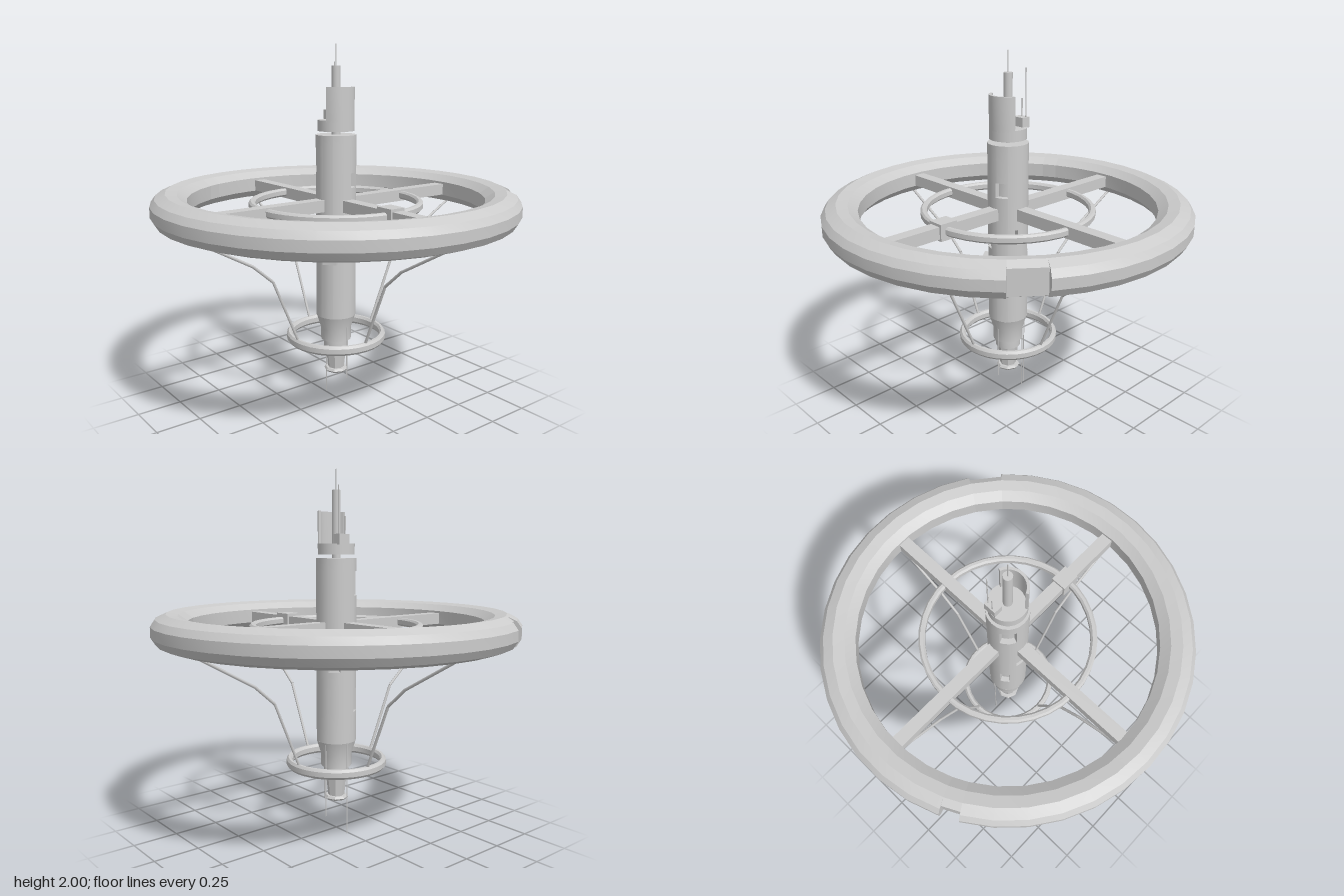
import * as THREE from 'three';
import { toCreasedNormals } from 'three/addons/utils/BufferGeometryUtils.js';

const rad = THREE.MathUtils.degToRad;
const material = new THREE.MeshStandardMaterial({ color: 0xcccccc });
const thin = new THREE.MeshStandardMaterial({ color: 0xcccccc, side: THREE.DoubleSide });
const faceted = new THREE.MeshStandardMaterial({ color: 0xcccccc, flatShading: true, side: THREE.DoubleSide });

function add(parent, name, geometry, mat = material) {
  const mesh = new THREE.Mesh(geometry, mat);
  mesh.name = name;
  parent.add(mesh);
  return mesh;
}

// Angles are in degrees about y: 0 is the front (+z), 90 is +x.
const polar = (a, y, r) => new THREE.Vector3(Math.sin(rad(a)) * r, y, Math.cos(rad(a)) * r);

// Profile of [radius, y] points turned about y, with flat ends when it is only an arc
function turned(parent, name, profile, segments, a0 = 0, a1 = 360) {
  const group = new THREE.Group();
  group.name = name;
  parent.add(group);
  const pts = profile.map(([r, y]) => new THREE.Vector2(r, y));
  const lathe = new THREE.LatheGeometry([...pts, pts[0].clone()], segments, rad(a0), rad(a1 - a0));
  add(group, name + 'Surface', toCreasedNormals(lathe, 0.4));
  if (a1 - a0 < 360) {
    for (const a of [a0, a1]) {
      add(group, name + 'End', new THREE.ShapeGeometry(new THREE.Shape(pts)), thin).rotation.y = rad(a - 90);
    }
  }
  return group;
}

// Straight round rod between two points
function rod(parent, name, p, q, radius, sides = 6) {
  const d = q.clone().sub(p);
  const mesh = add(parent, name, new THREE.CylinderGeometry(radius, radius, d.length(), sides));
  mesh.position.copy(p).add(q).multiplyScalar(0.5);
  mesh.quaternion.setFromUnitVectors(new THREE.Vector3(0, 1, 0), d.normalize());
  return mesh;
}

function box(parent, name, w, h, d, x, y, z) {
  const mesh = add(parent, name, new THREE.BoxGeometry(w, h, d));
  mesh.position.set(x, y, z);
  return mesh;
}

// Cylinder with rectangular recesses [angle0, angle1, y0, y1], built cell by cell
function recessedCylinder(radius, depth, yMin, yMax, recesses) {
  const sorted = (list) => [...new Set(list)].sort((a, b) => a - b);
  const angles = sorted([
    ...Array.from({ length: 25 }, (_, i) => i * 15 - 90),
    ...recesses.flatMap((w) => [w[0], w[1]]),
  ]);
  const ys = sorted([yMin, yMax, ...recesses.flatMap((w) => [w[2], w[3]])]);
  const n = angles.length - 1;
  const cell = (i, j) => {
    if (j < 0 || j >= ys.length - 1) return 0.001;
    const k = i % n;
    const a = (angles[k] + angles[k + 1]) / 2;
    const y = (ys[j] + ys[j + 1]) / 2;
    const cut = recesses.some((w) => a > w[0] && a < w[1] && y > w[2] && y < w[3]);
    return cut ? radius - depth : radius;
  };
  const pos = [];
  const quad = (a, b, c, d) => [a, b, c, a, c, d].forEach((p) => pos.push(p.x, p.y, p.z));
  for (let i = 0; i < n; i++) {
    const a0 = angles[i], a1 = angles[i + 1];
    for (let j = -1; j < ys.length - 1; j++) {
      const r = cell(i, j), side = cell(i + 1, j), above = cell(i, j + 1);
      const y0 = ys[j], y1 = ys[j + 1];
      if (j >= 0) quad(polar(a0, y0, r), polar(a1, y0, r), polar(a1, y1, r), polar(a0, y1, r));
      if (j >= 0 && side !== r) quad(polar(a1, y0, r), polar(a1, y0, side), polar(a1, y1, side), polar(a1, y1, r));
      if (above !== r) quad(polar(a0, y1, r), polar(a1, y1, r), polar(a1, y1, above), polar(a0, y1, above));
    }
  }
  const g = new THREE.BufferGeometry();
  g.setAttribute('position', new THREE.Float32BufferAttribute(pos, 3));
  return toCreasedNormals(g, 0.5);
}

export function createModel() {
  const model = new THREE.Group();
  model.name = 'spaceStation';

  // Large habitat ring with two notches in its outer edge
  const rim = [[0.80, 1.12], [0.84, 1.08], [0.91, 1.07], [0.965, 1.09], [0.99, 1.13], [0.99, 1.185],
    [0.965, 1.22], [0.91, 1.245], [0.85, 1.235], [0.80, 1.20]];
  const notched = rim.map(([r, y]) => [Math.min(r, 0.95), y]);
  turned(model, 'habitatRing', rim, 20, -60, 136);
  turned(model, 'ringNotch', notched, 1, 136, 147);
  turned(model, 'habitatRing', rim, 15, 147, 294);
  turned(model, 'ringNotch', notched, 1, 294, 300);

  // Spokes, middle ring and its junction box
  for (let i = 0; i < 4; i++) {
    const spoke = new THREE.Group();
    spoke.name = 'spoke';
    spoke.rotation.y = i * Math.PI / 2;
    box(spoke, 'spokeBeam', 0.73, 0.065, 0.068, 0.445, 1.155, 0);
    model.add(spoke);
  }
  turned(model, 'middleRing', [[0.44, 1.145], [0.45, 1.135], [0.465, 1.135], [0.475, 1.145],
    [0.475, 1.17], [0.465, 1.18], [0.45, 1.18], [0.44, 1.17]], 36);
  box(model, 'junctionBox', 0.105, 0.09, 0.09, 0.447, 1.157, 0);

  // Lower ring hung on four bent struts
  turned(model, 'lowerRing', [[0.247, 0.385], [0.257, 0.372], [0.27, 0.372], [0.28, 0.385],
    [0.28, 0.412], [0.27, 0.425], [0.257, 0.425], [0.247, 0.412]], 32);
  const bends = [[0.26, 0.415], [0.415, 0.78], [0.535, 0.885], [0.89, 1.085]];
  for (let a = 0; a < 360; a += 90) {
    for (let i = 0; i < 3; i++) {
      rod(model, 'strut', polar(a, bends[i][1], bends[i][0]), polar(a, bends[i + 1][1], bends[i + 1][0]), 0.008);
    }
  }

  // Central hull with window recesses
  add(model, 'hull', recessedCylinder(0.11, 0.03, 0.52, 1.53, [
    [-68, -22, 1.33, 1.46], [100, 137, 1.25, 1.33], [-21, 11, 0.95, 1.0], [43, 80, 0.95, 1.0],
    [135, 165, 1.0, 1.07], [208, 242, 0.92, 0.98], [-70, -40, 0.69, 0.82],
  ]));
  const pod = box(model, 'sidePod', 0.075, 0.046, 0.06, 0.066, 0.862, 0.086);
  pod.rotation.y = rad(38);

  // Tapered hull base
  turned(model, 'hullBase', [[0, 0.325], [0.07, 0.325], [0.07, 0.375], [0.085, 0.375],
    [0.085, 0.44], [0.11, 0.52], [0, 0.52]], 28);

  // Hollow engine nozzle with flared lip
  const nozzle = [[0.03, 0.24], [0.036, 0.178], [0.06, 0.178], [0.068, 0.188], [0.06, 0.2],
    [0.046, 0.2], [0.06, 0.328], [0, 0.328], [0, 0.24], [0.03, 0.24]];
  add(model, 'nozzle', new THREE.LatheGeometry(nozzle.map(([r, y]) => new THREE.Vector2(r, y)), 8), faceted);

  // Docking head: neck, cup, upright half shell, mast and sensor box
  rod(model, 'neck', polar(0, 1.52, 0), polar(0, 1.56, 0), 0.024, 16);
  rod(model, 'cup', polar(0, 1.55, 0), polar(0, 1.608, 0), 0.1, 28);
  turned(model, 'halfShell', [[0.086, 1.60], [0.1, 1.60], [0.1, 1.78], [0.086, 1.78]], 12, 22, 158);
  rod(model, 'mast', polar(0, 1.6, 0), polar(0, 1.89, 0), 0.024, 16);
  box(model, 'sensorBox', 0.05, 0.055, 0.07, -0.073, 1.63, -0.025);

  // Antennas: [x, z, bottom, top]
  const antennas = [[0, 0, 1.88, 2.0], [-0.08, -0.05, 1.6, 1.91], [-0.09, -0.013, 1.6, 1.75],
    [-0.105, -0.01, 0, 0.53], [0.088, -0.01, 0.15, 0.5], [-0.03, -0.1, 0.1, 0.53]];
  for (const [x, z, y0, y1] of antennas) {
    rod(model, 'antenna', new THREE.Vector3(x, y0, z), new THREE.Vector3(x, y1, z), 0.003, 5);
  }
  return model;
}
